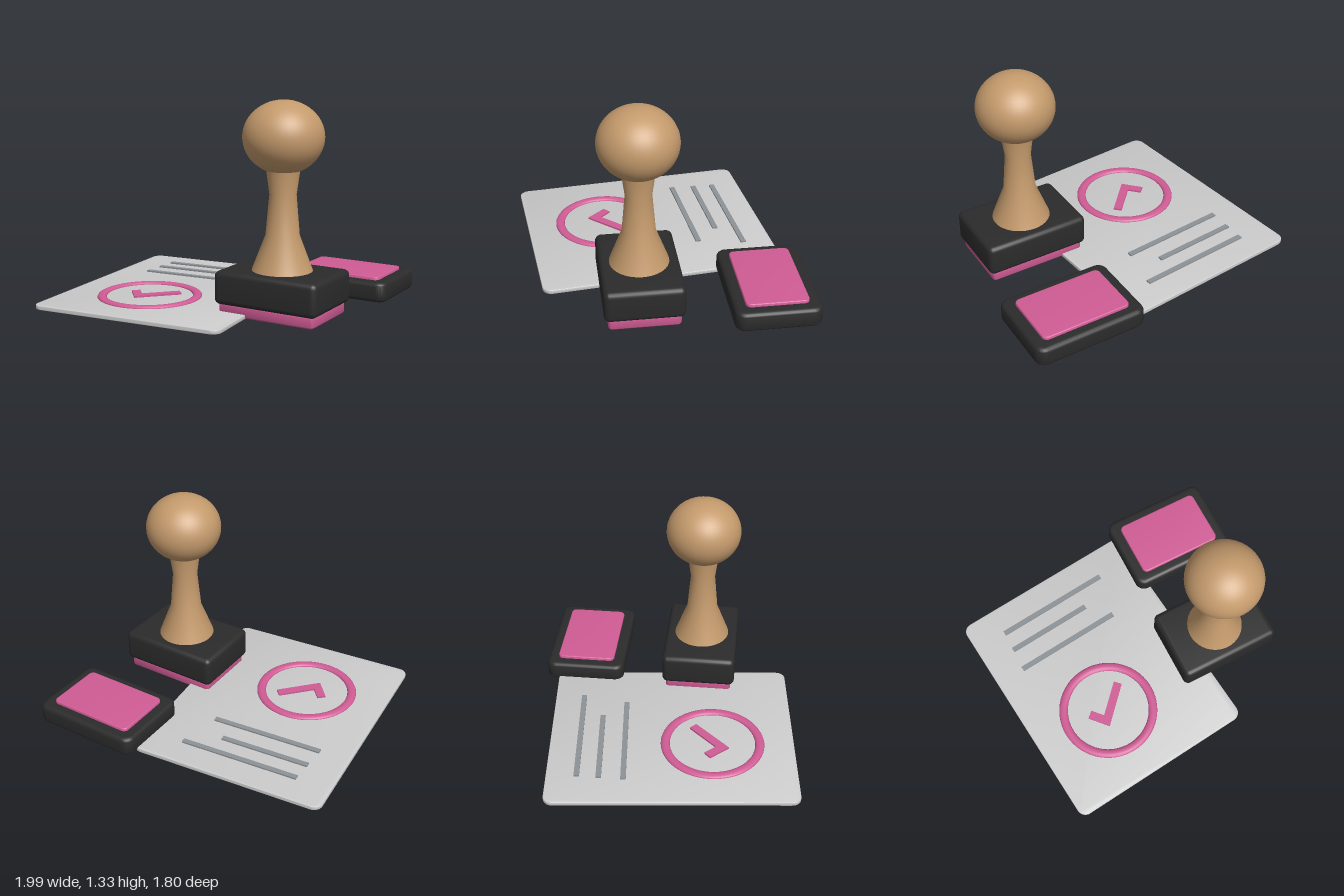
import * as THREE from 'three';
import { toCreasedNormals } from 'three/addons/utils/BufferGeometryUtils.js';

const material = (name, color) => {
  const m = new THREE.MeshStandardMaterial({ color });
  m.name = name;
  return m;
};

// Rounded rectangle outline centred on the origin
function roundedRect(w, d, r) {
  const x = w / 2 - r, y = d / 2 - r, s = new THREE.Shape();
  s.absarc(x, y, r, 0, Math.PI / 2);
  s.absarc(-x, y, r, Math.PI / 2, Math.PI);
  s.absarc(-x, -y, r, Math.PI, Math.PI * 1.5);
  s.absarc(x, -y, r, Math.PI * 1.5, Math.PI * 2);
  s.closePath();
  return s;
}

// Horizontal slab standing on y = 0 with rounded corners and softened edges
function slab(w, h, d, corner, bevel) {
  const shape = roundedRect(w - 2 * bevel, d - 2 * bevel, Math.max(corner - bevel, 0.004));
  const g = new THREE.ExtrudeGeometry(shape, {
    depth: h - 2 * bevel, bevelEnabled: bevel > 0, bevelSize: bevel,
    bevelThickness: bevel, bevelSegments: 5, curveSegments: 8,
  });
  g.translate(0, 0, bevel);
  g.rotateX(-Math.PI / 2);
  return toCreasedNormals(g, 0.6);
}

export function createModel() {
  const model = new THREE.Group();
  model.name = 'stampSet';
  const wood = material('wood', 0xc49a6c);
  const black = material('black', 0x2b2b2b);
  const pink = material('pinkInk', 0xd05c95);
  const paper = material('paper', 0xcccccc);
  const grey = material('greyPrint', 0x8c9296);

  const add = (parent, name, geometry, mat, x = 0, y = 0, z = 0) => {
    const m = new THREE.Mesh(geometry, mat);
    m.name = name;
    m.position.set(x, y, z);
    parent.add(m);
    return m;
  };

  // Sheet of paper, turned slightly
  const turn = 0.1, top = 0.027;
  const sheet = add(model, 'paperSheet', slab(1.3, top, 1.6, 0.06, 0.004), paper, -0.275, 0, 0.04);
  sheet.rotation.y = turn;

  // Printed text lines: length, x, z
  [[0.8, -0.353, -0.56], [0.6, -0.452, -0.41], [0.75, -0.377, -0.26]].forEach(([len, x, z], i) => {
    const line = add(model, 'textLine' + (i + 1), new THREE.BoxGeometry(len, 0.014, 0.035), grey, x, top + 0.003, z);
    line.rotation.y = turn;
  });

  // Stamped ring, a flattened torus
  const ring = new THREE.TorusGeometry(0.31, 0.03, 12, 64);
  ring.rotateX(Math.PI / 2);
  ring.scale(1, 0.55, 1);
  add(model, 'stampedRing', ring, pink, -0.35, top, 0.315);

  // Stamped check mark, outlined in x and -z
  const check = new THREE.Shape([
    [-0.5, -0.31], [-0.395, -0.425], [-0.185, -0.195],
    [-0.225, -0.155], [-0.395, -0.34], [-0.46, -0.27],
  ].map(([x, y]) => new THREE.Vector2(x, y)));
  const checkGeo = new THREE.ExtrudeGeometry(check, { depth: 0.014, bevelEnabled: false });
  checkGeo.rotateX(-Math.PI / 2);
  add(model, 'stampedCheck', checkGeo, pink, 0, top - 0.002, 0);

  // Hand stamp
  const stamp = new THREE.Group();
  stamp.name = 'handStamp';
  stamp.position.set(0.548, 0, 0.172);
  model.add(stamp);
  add(stamp, 'rubberPlate', slab(0.65, 0.085, 0.45, 0.025, 0.02), pink);
  add(stamp, 'stampBase', slab(0.7, 0.21, 0.5, 0.04, 0.035), black, 0, 0.07, 0);
  const profile = [[0.19, 0.27], [0.187, 0.285], [0.105, 0.5], [0.083, 0.75], [0.105, 0.91]]
    .map(([r, y]) => new THREE.Vector2(r, y));
  add(stamp, 'handle', new THREE.LatheGeometry(profile, 40), wood);
  const knob = add(stamp, 'knob', new THREE.SphereGeometry(0.25, 40, 28), wood, 0, 1.1, 0);
  knob.scale.y = 0.9;

  // Ink pad
  const pad = new THREE.Group();
  pad.name = 'inkPad';
  pad.position.set(0.624, 0, -0.634);
  model.add(pad);
  add(pad, 'padCase', slab(0.746, 0.13, 0.542, 0.065, 0.03), black);
  add(pad, 'inkCushion', slab(0.594, 0.05, 0.396, 0.035, 0.008), pink, 0, 0.1, 0);

  return model;
}
